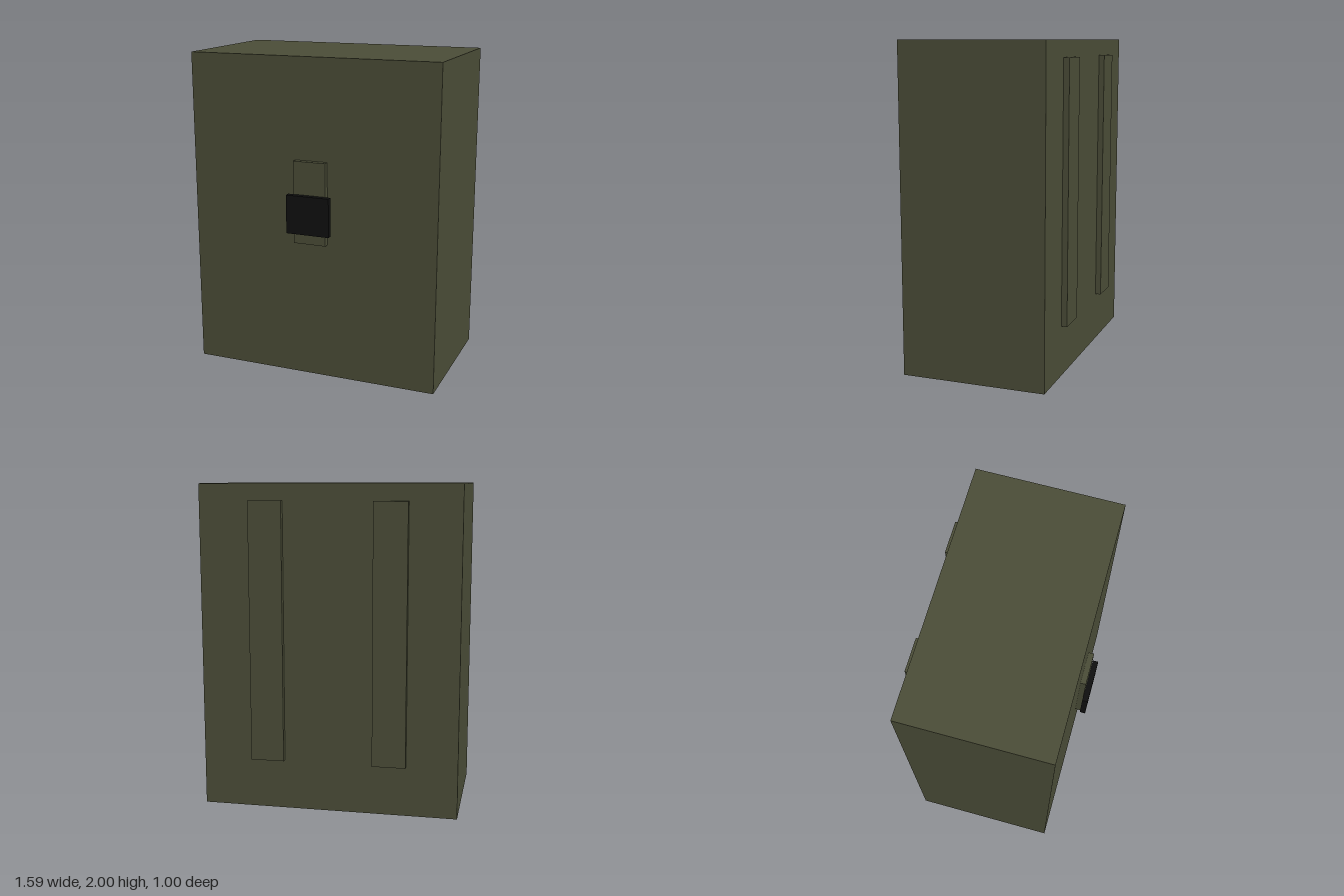
import * as THREE from 'three';

export function createModel() {
  const model = new THREE.Group();
  model.name = 'backpack';

  const olive = new THREE.MeshStandardMaterial({ color: 0x4a4c37 });
  olive.name = 'olive canvas';
  const black = new THREE.MeshStandardMaterial({ color: 0x0f0f0f });
  black.name = 'black buckle';

  // Box given by its lower and upper corners
  function box(name, material, [x0, y0, z0], [x1, y1, z1]) {
    const mesh = new THREE.Mesh(new THREE.BoxGeometry(x1 - x0, y1 - y0, z1 - z0), material);
    mesh.position.set((x0 + x1) / 2, (y0 + y1) / 2, (z0 + z1) / 2);
    mesh.name = name;
    model.add(mesh);
  }

  // Main bag
  box('body', olive, [-0.793, 0, -0.465], [0.793, 2, 0.43]);

  // Closing strap and buckle on the front
  box('frontStrap', olive, [-0.103, 0.867, 0.43], [0.103, 1.38, 0.465]);
  box('buckle', black, [-0.138, 0.935, 0.465], [0.138, 1.175, 0.5]);

  // Pair of shoulder straps on the back
  box('leftShoulderStrap', olive, [0.275, 0.31, -0.5], [0.48, 1.9, -0.465]);
  box('rightShoulderStrap', olive, [-0.48, 0.31, -0.5], [-0.275, 1.9, -0.465]);

  return model;
}
